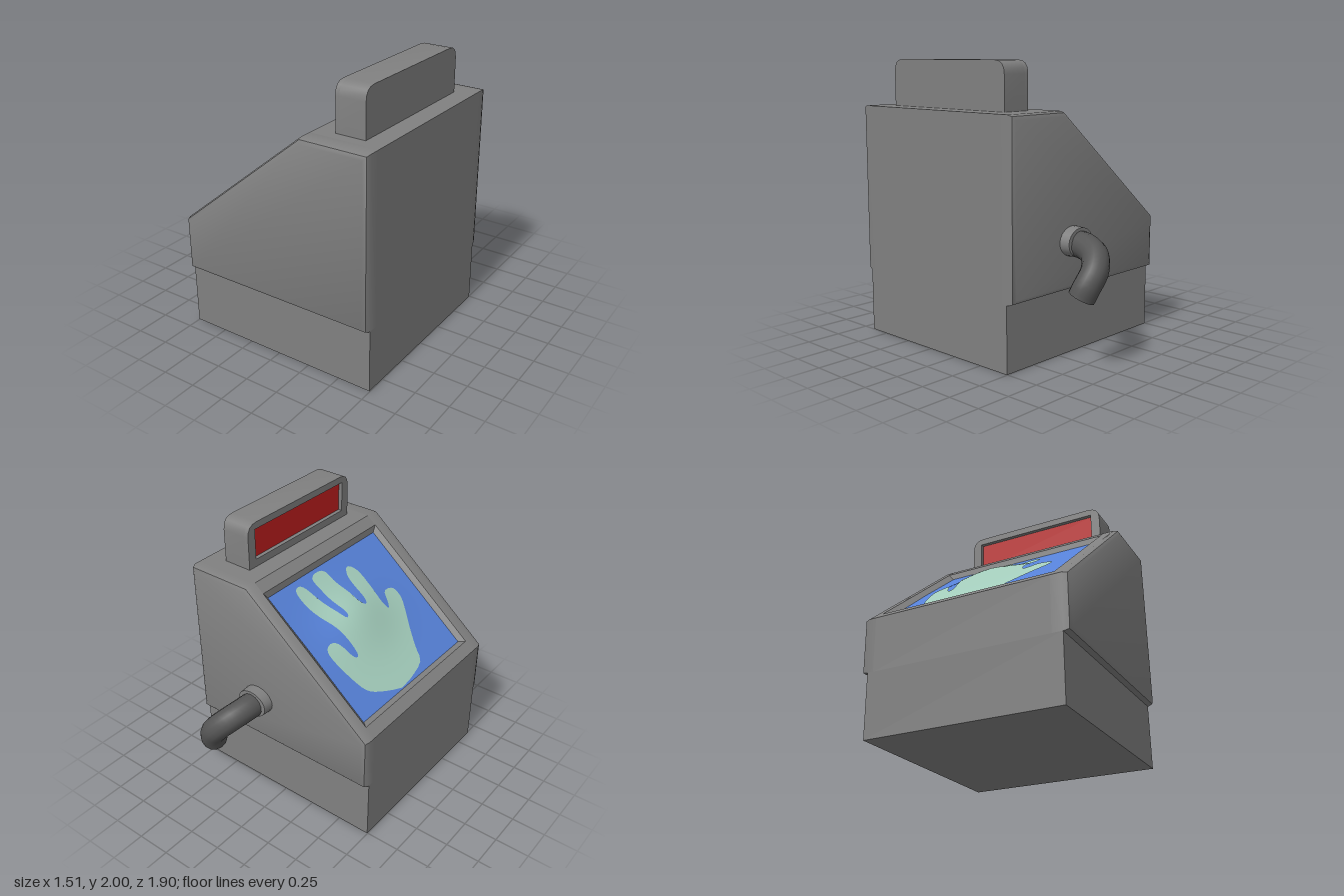
import * as THREE from 'three';
import { toCreasedNormals } from 'three/addons/utils/BufferGeometryUtils.js';

const V3 = (x, y, z) => new THREE.Vector3(x, y, z);
const V2 = ([x, y]) => new THREE.Vector2(x, y);
const paint = (name, color) => Object.assign(new THREE.MeshStandardMaterial({ color }), { name });

// Height of the sloping face at x
const slope = (x) => 0.85 + 0.82 * (x + 0.75);
// Screen surface: sunk below the slope, swelling gently in the middle
const screenY = (x, z) =>
  slope(x) - 0.047 + 0.077 * Math.exp(-(((x + 0.2) / 0.17) ** 2) - ((z - 0.1) / 0.3) ** 2);

// Skin between loops of points, with an optional flat cap on the last one
function loft(loops, cap) {
  const pts = [];
  for (let k = 0; k < loops.length - 1; k++) {
    const a = loops[k], b = loops[k + 1];
    a.forEach((p, i) => {
      const j = (i + 1) % a.length;
      pts.push(p, a[j], b[j], p, b[j], b[i]);
    });
  }
  const end = loops[loops.length - 1];
  if (cap) for (let i = 1; i < end.length - 1; i++) pts.push(end[0], end[i], end[i + 1]);
  const geo = new THREE.BufferGeometry().setFromPoints(pts);
  geo.computeVertexNormals();
  return toCreasedNormals(geo, 0.75);
}

export function createModel() {
  const group = new THREE.Group();
  const grey = paint('casing grey', 0x808080);
  const dark = paint('pipe dark grey', 0x555555);
  const blue = paint('screen blue', 0x5580d6);
  const green = paint('hand pale green', 0xa2cbba);
  const red = paint('display red', 0xc01e1e);
  const add = (name, geo, mat) => {
    const mesh = new THREE.Mesh(geo, mat);
    mesh.name = name;
    group.add(mesh);
    return mesh;
  };

  // Plinth
  add('base', new THREE.BoxGeometry(1.5, 0.46, 1.4).translate(0, 0.23, 0.2), grey);

  // Casing ends with softened outer rims
  const outer = [[-0.75, 0.46], [0.75, 0.46], [0.75, 1.67], [0.25, 1.67], [-0.75, 0.85]].map(V2);
  const inner = [[-0.71, 0.495], [0.715, 0.495], [0.715, 1.635], [0.263, 1.635], [-0.71, 0.835]].map(V2);
  const Z0 = -0.455, Z1 = 0.825; // limits of the screen recess
  const endSlab = (zIn, zOut) => {
    const s = Math.sign(zOut - zIn);
    const rim = [[0, zIn], [0, zOut - s * 0.045], [0.3, zOut - s * 0.013], [1, zOut]];
    return loft(rim.map(([t, z]) => {
      const loop = outer.map((p, i) => p.clone().lerp(inner[i], t)).map((p) => V3(p.x, p.y, z));
      return s > 0 ? loop : loop.reverse();
    }), true);
  };
  add('frontCasing', endSlab(Z1, 0.95), grey);
  add('rearCasing', endSlab(Z0, -0.555), grey);

  // Casing middle, notched for the screen
  const X0 = -0.68, X1 = 0.18, sx0 = -0.632, sx1 = 0.176, sz0 = -0.415, sz1 = 0.795;
  const notch = new THREE.Shape([
    ...outer.slice(0, 4).map((p) => [p.x, p.y]),
    [X1, slope(X1)], [X1, slope(X1) - 0.1], [X0, slope(X0) - 0.1], [X0, slope(X0)], [-0.75, 0.85],
  ].map(V2));
  add('middleCasing',
    new THREE.ExtrudeGeometry(notch, { depth: Z1 - Z0, bevelEnabled: false }).translate(0, 0, Z0), grey);

  // Sloping walls around the screen
  const ring = (x0, x1, z0, z1, drop) =>
    [[x0, z0], [x0, z1], [x1, z1], [x1, z0]].map(([x, z]) => V3(x, slope(x) - drop, z));
  add('screenSurround', loft([ring(X0, X1, Z0, Z1, 0), ring(sx0, sx1, sz0, sz1, 0.047)], false), grey);

  // Screen
  const screen = new THREE.PlaneGeometry(sx1 - sx0, sz1 - sz0, 28, 36).rotateX(-Math.PI / 2)
    .translate((sx0 + sx1) / 2, 0, (sz0 + sz1) / 2);
  const sp = screen.attributes.position;
  for (let i = 0; i < sp.count; i++) sp.setY(i, screenY(sp.getX(i), sp.getZ(i)));
  screen.computeVertexNormals();
  add('screen', screen, blue);

  // Hand shape draped over the screen (outline in x, z)
  const outline = [
    [-.628, .05], [-.6, -.05], [-.55, -.18], [-.5, -.24], [-.4, -.28], [-.3, -.305], [-.24, -.3],
    [-.22, -.25], [-.24, -.2], [-.29, -.17], [-.34, -.15], [-.36, -.12], [-.33, -.1], [-.2, -.12],
    [-.05, -.18], [.05, -.2], [.12, -.19], [.135, -.14], [.1, -.1], [0, -.07], [-.1, -.04],
    [-.18, -.01], [-.16, .02], [-.05, .005], [.05, 0], [.13, 0], [.15, .07], [.13, .14],
    [.05, .155], [-.05, .18], [-.14, .185], [-.18, .22], [-.14, .255], [-.05, .27], [.04, .29],
    [.085, .34], [.06, .39], [0, .41], [-.1, .4], [-.2, .385], [-.25, .405], [-.22, .44],
    [-.16, .48], [-.15, .54], [-.17, .59], [-.23, .595], [-.3, .55], [-.4, .47], [-.5, .4],
    [-.58, .35], [-.615, .2], [-.628, .05],
  ].map(V2);
  const contour = new THREE.SplineCurve(outline).getPoints(130).slice(0, -1);
  const flat = new THREE.ShapeGeometry(new THREE.Shape(contour));
  const fp = flat.attributes.position;
  const handPoints = [];
  const split = (a, b, c, level) => {
    if (level === 0) {
      for (const p of [a, c, b]) handPoints.push(V3(p.x, screenY(p.x, p.y) + 0.007, p.y));
      return;
    }
    const [ab, bc, ca] = [[a, b], [b, c], [c, a]].map(([p, q]) => p.clone().lerp(q, 0.5));
    split(a, ab, ca, level - 1);
    split(ab, b, bc, level - 1);
    split(ca, bc, c, level - 1);
    split(ab, bc, ca, level - 1);
  };
  const corner = (k) => new THREE.Vector2().fromBufferAttribute(fp, flat.index.getX(k));
  for (let k = 0; k < flat.index.count; k += 3) split(corner(k), corner(k + 1), corner(k + 2), 4);
  const hand = new THREE.BufferGeometry().setFromPoints(handPoints);
  hand.computeVertexNormals();
  add('handShape', toCreasedNormals(hand, 1), green);

  // Display box on top: solid back, open frame and red panel (outline in z, y)
  const boxShape = () => {
    const s = new THREE.Shape();
    s.moveTo(-0.35, 1.66);
    s.lineTo(0.75, 1.66);
    s.lineTo(0.75, 1.91);
    s.quadraticCurveTo(0.75, 2, 0.66, 2);
    s.lineTo(-0.26, 2);
    s.quadraticCurveTo(-0.35, 2, -0.35, 1.91);
    s.closePath();
    return s;
  };
  const alongX = (shape, x0, x1) => toCreasedNormals(
    new THREE.ExtrudeGeometry(shape, { depth: x1 - x0, bevelEnabled: false, curveSegments: 4 })
      .rotateY(-Math.PI / 2).translate(x1, 0, 0), 0.6);
  const framed = boxShape();
  framed.holes.push(new THREE.Path([[-0.28, 1.725], [-0.28, 1.95], [0.68, 1.95], [0.68, 1.725]].map(V2)));
  add('displayBack', alongX(boxShape(), 0.42, 0.61), grey);
  add('displayFrame', alongX(framed, 0.39, 0.42), grey);
  add('displayPanel', new THREE.BoxGeometry(0.006, 0.215, 0.95).translate(0.418, 1.8375, 0.2), red);

  // Rear pipe with its collar
  add('pipeCollar', new THREE.CylinderGeometry(0.11, 0.105, 0.09, 20).rotateX(Math.PI / 2)
    .scale(1.15, 0.95, 1).translate(0.178, 0.8, -0.585), grey);
  const path = new THREE.CatmullRomCurve3([
    V3(0.175, 0.79, -0.58), V3(0.19, 0.78, -0.69), V3(0.235, 0.74, -0.8),
    V3(0.31, 0.66, -0.855), V3(0.365, 0.58, -0.845), V3(0.39, 0.5, -0.815),
  ]);
  add('pipe', new THREE.TubeGeometry(path, 18, 0.092, 14), dark);
  const pipeEnd = add('pipeEnd', new THREE.CircleGeometry(0.092, 14), dark);
  pipeEnd.position.copy(path.getPoint(1));
  pipeEnd.lookAt(path.getPoint(1).add(path.getTangent(1)));

  group.rotation.y = -0.005;
  return group;
}
